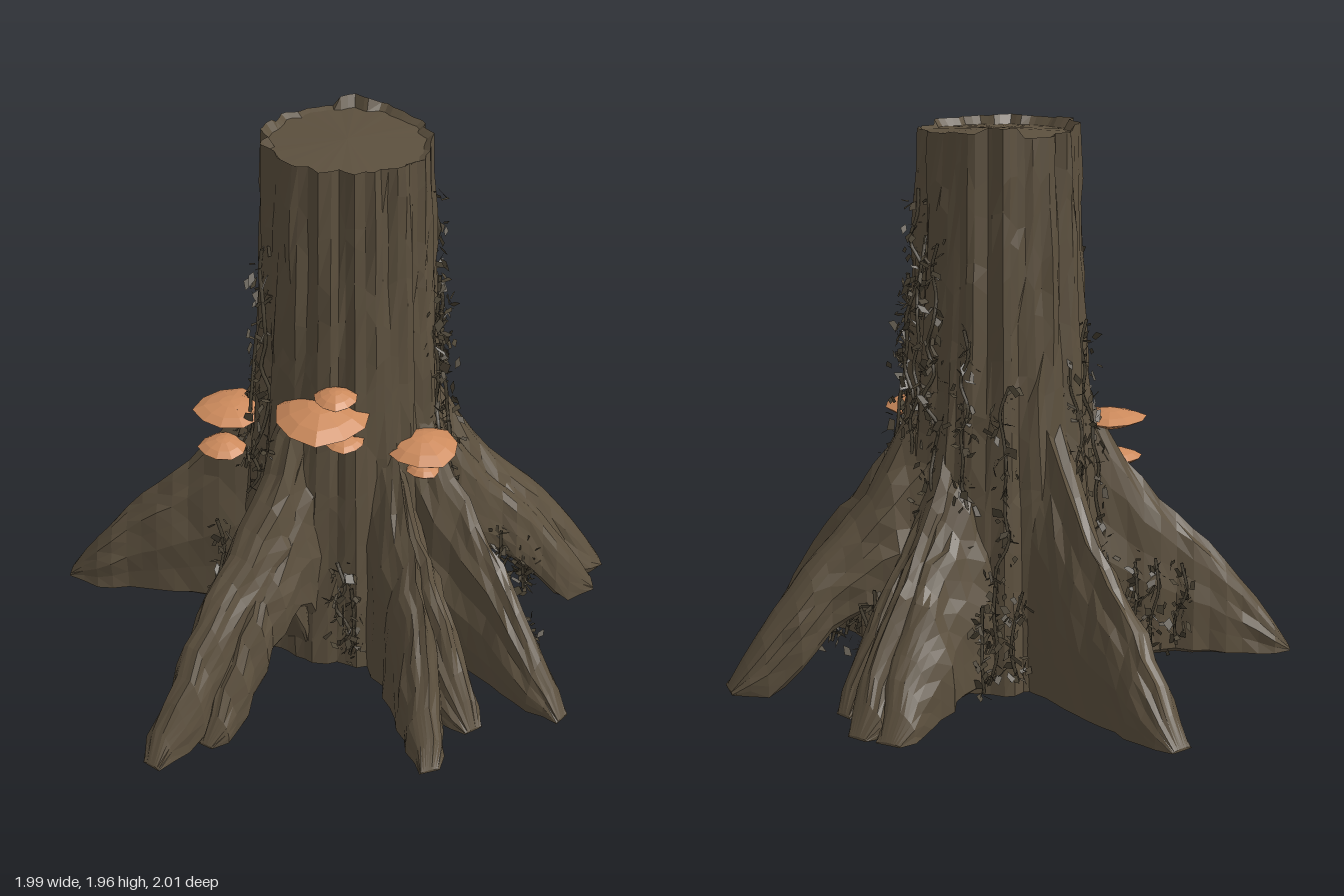
import * as THREE from 'three';
import { mergeGeometries } from 'three/addons/utils/BufferGeometryUtils.js';

const CX = -0.02, CZ = 0.03, GROUND = 0.02;

// Repeatable noise in 0..1
const hash = (i, j = 0) => {
  const s = Math.sin(i * 127.1 + j * 311.7 + 17.3) * 43758.5453;
  return s - Math.floor(s);
};
let seed = 7;
const rnd = (a = 0, b = 1) => {
  seed = (seed * 16807) % 2147483647;
  return a + (b - a) * (seed / 2147483647);
};

// Linear lookup in a list of [key, value]
function lookup(table, k) {
  if (k <= table[0][0]) return table[0][1];
  for (let i = 1; i < table.length; i++) {
    const [k0, v0] = table[i - 1], [k1, v1] = table[i];
    if (k <= k1) return v0 + (v1 - v0) * (k - k0) / (k1 - k0);
  }
  return table[table.length - 1][1];
}

// Faceted, closed surface through rings of points
function loft(rings, capStart, capEnd) {
  const n = rings[0].length, pos = [];
  const tri = (...ps) => ps.forEach((p) => pos.push(p.x, p.y, p.z));
  for (let i = 0; i < rings.length - 1; i++) {
    const a = rings[i], b = rings[i + 1];
    for (let j = 0; j < n; j++) {
      const k = (j + 1) % n;
      tri(a[j], a[k], b[k]);
      tri(a[j], b[k], b[j]);
    }
  }
  const first = rings[0], last = rings[rings.length - 1];
  for (let j = 0; j < n; j++) {
    const k = (j + 1) % n;
    tri(capStart, first[k], first[j]);
    tri(capEnd, last[j], last[k]);
  }
  return facet(pos);
}

function facet(pos) {
  const g = new THREE.BufferGeometry();
  g.setAttribute('position', new THREE.Float32BufferAttribute(pos, 3));
  g.computeVertexNormals();
  return g;
}

const TRUNK = [[0.02, 0.4], [0.4, 0.375], [0.7, 0.35], [0.95, 0.322], [1.3, 0.3], [1.6, 0.284], [2, 0.268]];

// Trunk radius with long vertical bark folds
function trunkRadius(angle, y) {
  const folds = Math.abs(Math.sin(6.5 * angle + 0.5 * Math.sin(y * 3))) * 0.022
    + Math.abs(Math.sin(9.5 * angle + 1 + 0.4 * y)) * 0.016;
  return lookup(TRUNK, y) - 0.018 + folds;
}

const onTrunk = (angle, y, lift = 0) => {
  const r = trunkRadius(angle, y) + lift;
  return new THREE.Vector3(CX + Math.sin(angle) * r, y, CZ + Math.cos(angle) * r);
};

function trunkGeometry() {
  const cols = 64, rows = 15, rings = [];
  for (let i = 0; i <= rows; i++) {
    const ring = [];
    for (let j = 0; j < cols; j++) {
      const a = ((j + 0.5 * (hash(j, 3) - 0.5)) / cols) * Math.PI * 2;
      let y = GROUND + (1.95 - GROUND) * i / rows;
      if (i > 0 && i < rows) y += (hash(j, i) - 0.5) * 0.11;
      if (i === rows) y = 1.945 + 0.036 * hash(Math.floor(j / 5), 9);
      ring.push(onTrunk(a, y, (hash(j, i + 40) - 0.5) * 0.012));
    }
    rings.push(ring);
  }
  // Sunken cut inside the jagged rim
  rings.push(rings[rows].map((p) => new THREE.Vector3(
    CX + (p.x - CX) * 0.92, 1.94, CZ + (p.z - CZ) * 0.92)));
  return loft(rings, new THREE.Vector3(CX, GROUND, CZ), new THREE.Vector3(CX, 1.955, CZ));
}

const CREST = [[0.2, 1.25], [0.3, 1.02], [0.37, 0.87], [0.46, 0.72], [0.55, 0.6], [0.74, 0.41], [0.9, 0.2], [1, 0.03]];
const WIDTH = [[0.2, 1.5], [0.4, 1.55], [0.6, 1.25], [0.85, 1], [0.95, 0.75], [1, 0.45]];
const ARCH = [[0.33, 0], [0.4, 0.85], [0.5, 1], [0.65, 0.75], [0.8, 0.25], [0.88, 0]];

// Buttress root: tip x, tip z, half width, arch height, sideways bend
function rootGeometry([tx, tz, w, arch, bend], id) {
  const dx = tx - CX, dz = tz - CZ, len = Math.hypot(dx, dz);
  const side = new THREE.Vector3(dz / len, 0, -dx / len);
  const rows = 14, top = 15, low = 5, rings = [];
  for (let i = 0; i <= rows; i++) {
    const t = 0.2 + 0.8 * i / rows;
    const base = GROUND + arch * lookup(ARCH, t);
    const crest = Math.max(lookup(CREST, t), base + 0.01);
    const half = w * lookup(WIDTH, t) * (0.92 + 0.16 * hash(i, id));
    const shift = bend * Math.sin(Math.PI * t) + (hash(i, id + 50) - 0.5) * 0.02;
    const c = new THREE.Vector3(CX + dx * t, 0, CZ + dz * t).addScaledVector(side, shift);
    const ring = [];
    for (let j = 0; j < top + low; j++) {
      const upper = j < top;
      const a = upper ? Math.PI * j / (top - 1) : Math.PI * (1 + (j - top + 1) / (low + 1));
      const groove = upper ? 0.86 + 0.2 * hash(j, id + 11) + 0.1 * (hash(j + i * 20, id) - 0.5) : 0.9;
      const h = upper ? (crest - base) * (0.5 + 0.5 * groove) : Math.min(0.05, base - GROUND);
      const p = c.clone().addScaledVector(side, Math.cos(a) * half * groove);
      p.y = base + Math.sin(a) * h;
      ring.push(p);
    }
    rings.push(ring);
  }
  const mid = (r) => r.reduce((s, p) => s.add(p), new THREE.Vector3()).divideScalar(r.length);
  return loft(rings, mid(rings[0]), mid(rings[rows]));
}

const ROOTS = {
  backRoot: [[-0.1, -1, 0.095, 0, 0]],
  backLeftRoot: [[0.7, -0.47, 0.1, 0.07, 0], [0.77, -0.37, 0.085, 0.07, 0], [0.73, -0.19, 0.075, 0.07, 0]],
  leftRoot: [[0.98, 0.2, 0.125, 0.33, 0], [0.88, 0.34, 0.09, 0.33, -0.01]],
  frontLeftRoot: [[0.42, 0.95, 0.08, 0, 0.06]],
  frontRoot: [[-0.11, 1, 0.08, 0, 0.05], [0.11, 0.88, 0.085, 0, 0]],
  frontRightRoot: [[-0.99, 0.61, 0.085, 0.36, 0], [-0.78, 0.6, 0.07, 0.33, 0]],
  backRightRoot: [[-0.97, -0.5, 0.085, 0.04, 0]],
};

// Thin stem along points, with small pointed leaves
function vineGeometry(points, leaves, spread) {
  const curve = new THREE.CatmullRomCurve3(points);
  const stem = new THREE.TubeGeometry(curve, points.length * 3, 0.007, 4).toNonIndexed();
  stem.deleteAttribute('uv');
  const pos = [], v = (s) => new THREE.Vector3(rnd(-s, s), rnd(-s, s), rnd(-s, s));
  for (let i = 0; i < leaves; i++) {
    const p = curve.getPointAt(rnd()).add(v(spread));
    const tip = p.clone().add(v(0.03)).add(new THREE.Vector3(0, -0.016, 0));
    const wide = v(0.02), mid = p.clone().lerp(tip, 0.4);
    const l = mid.clone().add(wide), r = mid.clone().sub(wide);
    for (const q of [p, l, tip, p, tip, r]) pos.push(q.x, q.y, q.z);
  }
  return mergeGeometries([stem, facet(pos)]);
}

// Climbing vines: angle round the trunk, lowest y, highest y
const CLIMBERS = [
  [1.05, 0.55, 1.5], [1.4, 0.5, 1.82], [1.62, 0.25, 1.62], [1.85, 0.6, 1.65], [2.3, 0.5, 1.35], [2.65, 0.4, 1.2],
  [3.5, 0.45, 1.25], [3.9, 0.4, 1.3], [4.4, 0.6, 1.3], [4.75, 0.62, 1.66], [5.1, 0.3, 1.0], [0.75, 0.1, 1.45], [5.85, 0.12, 0.55],
];
// Strands hanging around and below the roots: x, z, top y
const STRANDS = [
  [0.45, 0.33, 0.4], [0.52, 0.3, 0.36], [0.58, 0.33, 0.32], [0.63, 0.3, 0.28], [0.55, -0.07, 0.4], [0.6, -0.1, 0.36],
  [-0.48, 0.24, 0.42], [-0.55, 0.3, 0.36], [-0.4, 0.2, 0.45], [-0.53, -0.4, 0.4], [-0.45, -0.37, 0.42], [-0.35, -0.36, 0.42],
  [0.15, -0.38, 0.42], [0.3, -0.4, 0.4], [-0.24, -0.37, 0.4], [0.43, 0.52, 0.3], [0.43, 0.64, 0.22], [-0.15, 0.42, 0.38],
  [-0.5, -0.02, 0.5], [0.22, -0.36, 0.45],
];

// Bracket fungi: x, y, z, radius, half height, outward angle
const FUNGI = [
  [-0.225, 1.075, 0.3, 0.165, 0.058, -0.5], [-0.19, 1.17, 0.34, 0.075, 0.032, -0.4], [-0.16, 0.985, 0.34, 0.07, 0.025, -0.4],
  [0.12, 0.905, 0.37, 0.13, 0.05, 0.1], [0.115, 0.83, 0.395, 0.06, 0.03, 0.2],
  [-0.41, 0.895, -0.115, 0.13, 0.036, -1.9], [-0.445, 0.742, -0.11, 0.09, 0.036, -1.9],
];

function fungusGeometry(radius, half) {
  const profile = [[0, -1], [0.45, -0.75], [0.85, -0.2], [1, 0.08], [0.7, 0.55], [0.3, 0.9], [0, 1]]
    .map(([x, y]) => new THREE.Vector2(x * radius, y * half));
  const g = new THREE.LatheGeometry(profile, 10).toNonIndexed();
  const p = g.attributes.position;
  const lip = [1.07, 0.95, 0.97, 1.02, 0.96, 0.9, 0.97, 1.03, 0.95, 0.96];
  for (let i = 0; i < p.count; i++) { // uneven lip, pointed to the front
    const a = Math.round(Math.atan2(p.getX(i), p.getZ(i)) * 10 / (Math.PI * 2));
    const k = lip[(a + 10) % 10];
    p.setXYZ(i, p.getX(i) * k, p.getY(i), p.getZ(i) * k);
  }
  g.computeVertexNormals();
  return g;
}

export function createModel() {
  const model = new THREE.Group();
  model.name = 'treeStump';
  const bark = new THREE.MeshStandardMaterial({ color: 0x5c503e });
  bark.name = 'bark';
  const vine = new THREE.MeshStandardMaterial({ color: 0x4c4435, side: THREE.DoubleSide });
  vine.name = 'vine';
  const fungus = new THREE.MeshStandardMaterial({ color: 0xcc8a5c });
  fungus.name = 'fungus';
  const add = (name, geometry, material) => {
    const mesh = new THREE.Mesh(geometry, material);
    mesh.name = name;
    model.add(mesh);
    return mesh;
  };

  add('trunk', trunkGeometry(), bark);
  let id = 1;
  for (const [name, forks] of Object.entries(ROOTS)) {
    add(name, mergeGeometries(forks.map((f) => rootGeometry(f, id++))), bark);
  }

  for (const [angle, y0, y1] of CLIMBERS) {
    const pts = [];
    for (let y = y0; y <= y1; y += 0.09) pts.push(onTrunk(angle + rnd(-0.09, 0.09), y, rnd(0.005, 0.03)));
    add('climbingVine', vineGeometry(pts, Math.round((y1 - y0) * 95), 0.038), vine);
  }
  for (const [x, z, y] of STRANDS) {
    const pts = [0, 0.33, 0.66, 1].map((t) => new THREE.Vector3(
      x + rnd(-0.02, 0.02), y + (0.08 - y) * t, z + rnd(-0.02, 0.02)));
    add('hangingVine', vineGeometry(pts, 38, 0.034), vine);
  }

  for (const [x, y, z, radius, half, angle] of FUNGI) {
    const cap = add('bracketFungus', fungusGeometry(radius, half), fungus);
    cap.position.set(x, y, z);
    cap.rotation.y = angle;
  }
  return model;
}
